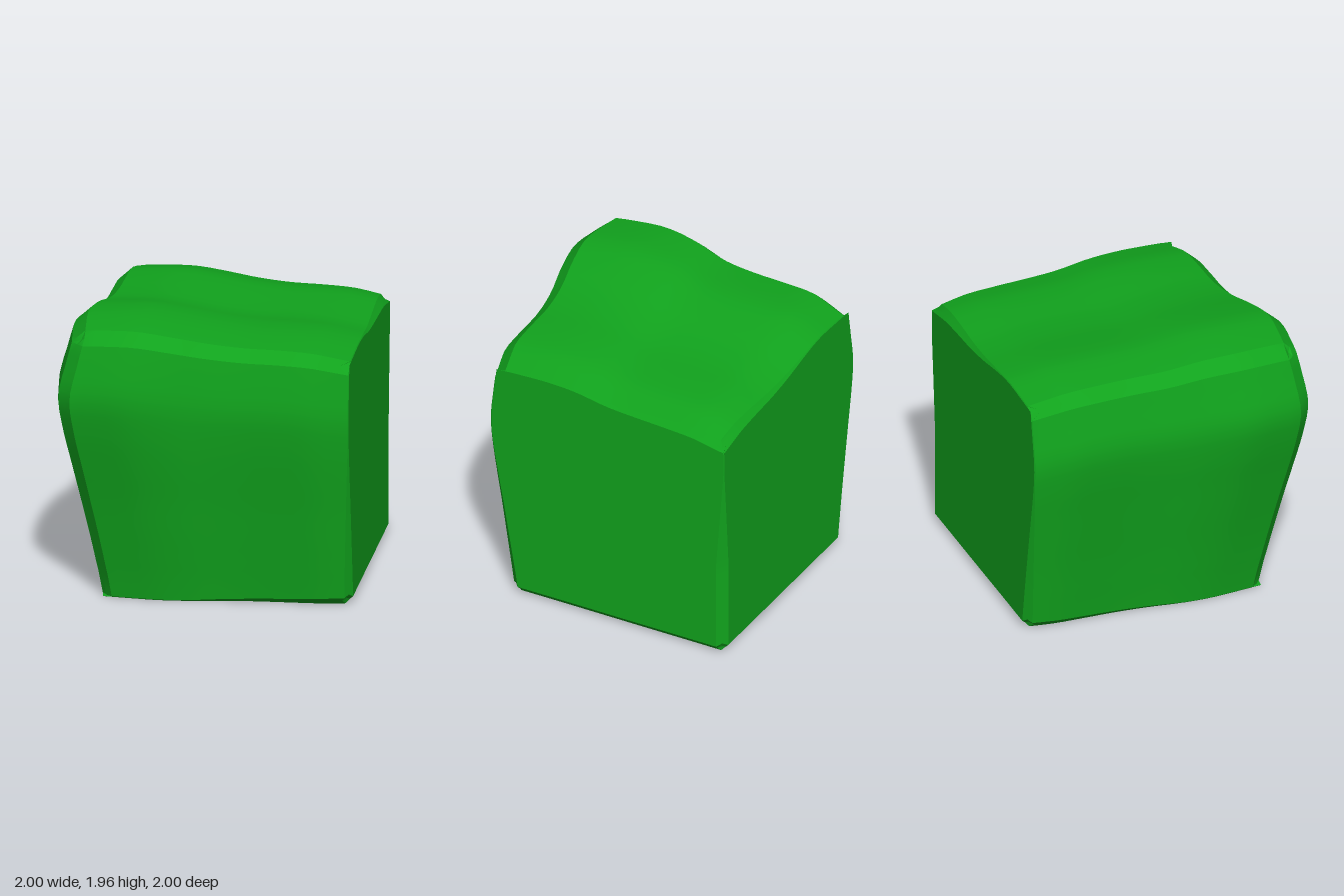
import * as THREE from 'three';
import { toCreasedNormals } from 'three/addons/utils/BufferGeometryUtils.js';

const N = 24; // grid cells per side

// Smooth height curve through evenly spaced values, as an offset below its peak
function wave(peak, values) {
  const curve = new THREE.SplineCurve(values.map((v, i) => new THREE.Vector2(i, v)));
  return (t) => curve.getPoint(t * 0.975).y - peak;
}

// Extent of a wavy side: two crossing waves, softened where both are low
function wavySide(peak, first, second) {
  const f = wave(peak, first), g = wave(peak, second);
  return (s, t) => {
    const d = f(s), e = g(t);
    return peak + d + e + 2 * d * e;
  };
}

const swell = [1.79, 1.857, 1.867, 1.873, 1.905, 1.965, 2.0, 1.975, 1.94];
const rightSide = wavySide(2,
  [1.71, 1.755, 1.805, 1.86, 1.915, 1.97, 2.0, 1.94, 1.88], swell);
const topSide = wavySide(1.96,
  [1.76, 1.82, 1.837, 1.842, 1.87, 1.92, 1.96, 1.95, 1.93],
  [1.79, 1.857, 1.872, 1.877, 1.89, 1.94, 1.96, 1.95, 1.93]);
const frontSide = wavySide(2, swell,
  [1.72, 1.765, 1.815, 1.865, 1.92, 1.97, 2.0, 1.965, 1.92]);

// Chamfer width of the edge between sides m and n, at t along the third axis
function chamfer(idx, m, n) {
  const along = 3 - m - n, t = idx[along] / N;
  const wavy = (idx[m] > N / 2) + (idx[n] > N / 2);
  if (wavy === 2) return 0.04;
  if (wavy === 1) return Math.max(0.003, 0.032 * (1 - t / 0.75));
  return along === 1 ? Math.max(0.003, 0.037 * Math.min(1, 1.8 - 2 * t)) : 0.03;
}

// Grid indices to unit-cube coordinates, with the edges chamfered
function chamferedPoint(idx) {
  const p = idx.map((i) => i / N);
  const extreme = [0, 1, 2].filter((m) => idx[m] === 0 || idx[m] === N);
  const inset = (m, r) => { p[m] = idx[m] > N / 2 ? 1 - r : r; };
  if (extreme.length === 1) {
    const m = extreme[0];
    for (let n = 0; n < 3; n++) {
      if (n !== m && (idx[n] === 1 || idx[n] === N - 1)) inset(n, chamfer(idx, m, n));
    }
  } else if (extreme.length === 2) {
    const r = chamfer(idx, ...extreme) / 2;
    extreme.forEach((m) => inset(m, r));
  } else {
    extreme.forEach((m) => {
      const [n, o] = extreme.filter((e) => e !== m);
      inset(m, 0.4 * (chamfer(idx, m, n) + chamfer(idx, m, o)));
    });
  }
  return p;
}

export function createModel() {
  const group = new THREE.Group();
  group.name = 'wavyBlock';

  // Block measured from its flat corner (left, bottom, back)
  const box = new THREE.BoxGeometry(2, 2, 2, N, N, N);
  const pos = box.attributes.position;
  const index = (v) => Math.round(v * N / 2);
  for (let i = 0; i < pos.count; i++) {
    const [a, b, c] = chamferedPoint([
      index(1 - pos.getX(i)), index(pos.getY(i) + 1), index(pos.getZ(i) + 1),
    ]);
    pos.setXYZ(i, 1 - a * rightSide(b, c), b * topSide(a, c), c * frontSide(a, b) - 1);
  }

  const block = new THREE.Mesh(
    toCreasedNormals(box, 0.45),
    new THREE.MeshStandardMaterial({ color: 0x11a31d }),
  );
  block.name = 'block';
  group.add(block);
  return group;
}
